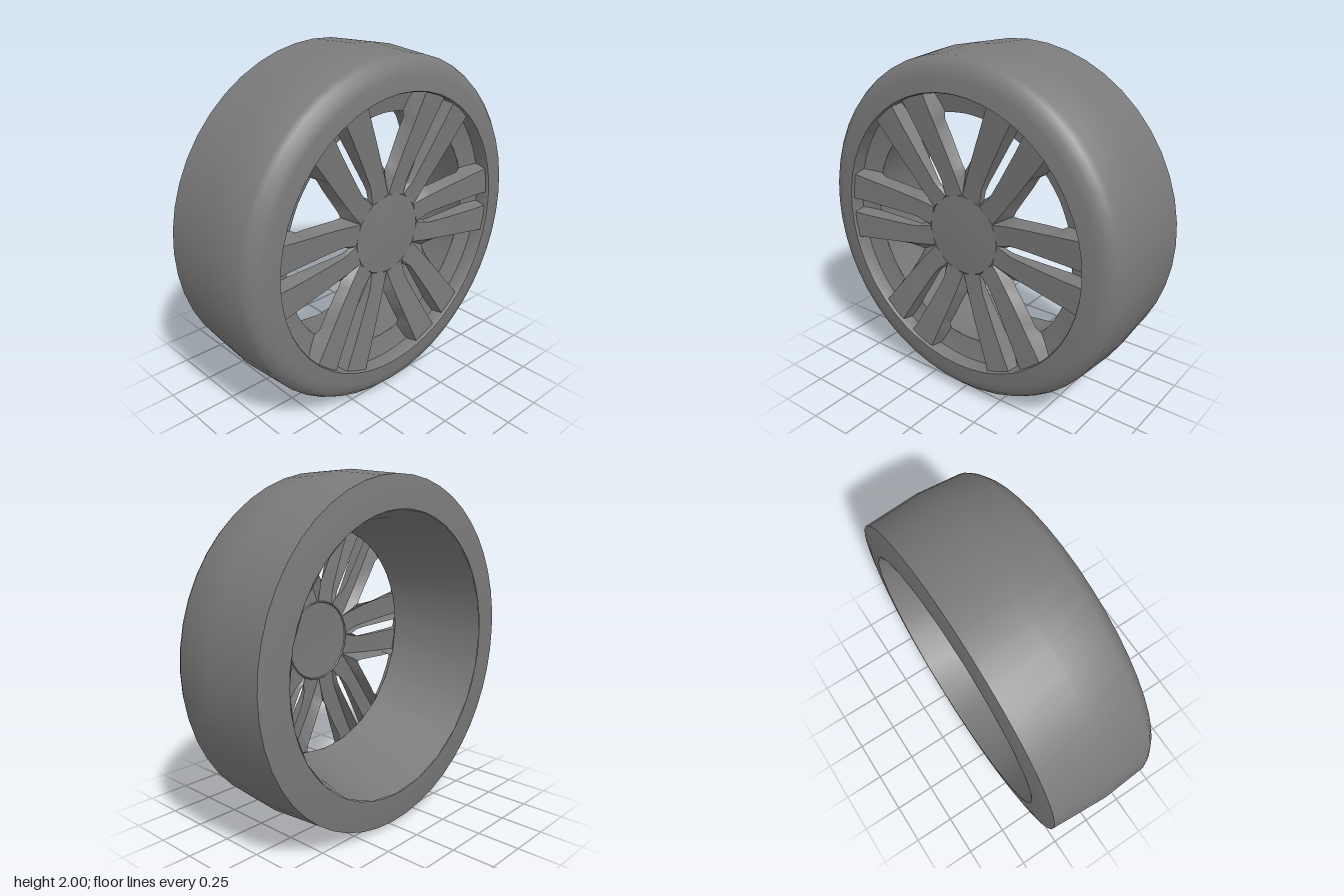
import * as THREE from 'three';
import { toCreasedNormals } from 'three/addons/utils/BufferGeometryUtils.js';

const material = new THREE.MeshStandardMaterial({ color: 0x7a7a7a, side: THREE.DoubleSide });

// Profile of [radius, z] turned around the z axis
function turned(name, profile, segments = 48, crease = 0.6) {
  const points = profile.map(([r, z]) => new THREE.Vector2(r, z));
  const geometry = new THREE.LatheGeometry(points, segments).rotateX(Math.PI / 2);
  const mesh = new THREE.Mesh(toCreasedNormals(geometry, crease), material);
  mesh.name = name;
  return mesh;
}

// Spoke stations: radius, then angle of slot foot, slot edge, window edge, window foot, then face z, foot z
const stations = [
  [0.235, 0, 0.6, 29.4, 30, 0.27, 0.266],
  [0.28, 0, 3, 26.5, 30, 0.273, 0.255],
  [0.32, 3.6, 5, 24.5, 30, 0.277, 0.245],
  [0.37, 4.2, 5.2, 22.5, 30, 0.282, 0.238],
  [0.4, 4.1, 5, 21.4, 27, 0.285, 0.236],
  [0.47, 3.6, 4.7, 19.5, 23.2, 0.292, 0.234],
  [0.57, 3.2, 4.2, 17.4, 19.6, 0.303, 0.232],
  [0.64, 3, 3.9, 16.3, 17.4, 0.31, 0.23],
  [0.68, 2.9, 3.8, 15.8, 18.2, 0.314, 0.228],
  [0.8, 2.4, 3.2, 14.6, 15.8, 0.326, 0.25],
];

// Open-backed channel lofted along the stations
function spokeGeometry() {
  const positions = [];
  const index = [];
  for (const [r, a, b, c, d, face, foot] of stations) {
    [[a, foot], [b, face], [c, face], [d, foot]].forEach(([degrees, z]) => {
      const t = THREE.MathUtils.degToRad(degrees);
      positions.push(r * Math.cos(t), r * Math.sin(t), z);
    });
  }
  for (let i = 0; i < stations.length - 1; i++) {
    for (let j = 0; j < 3; j++) {
      const p = i * 4 + j;
      index.push(p, p + 4, p + 5, p, p + 5, p + 1);
    }
  }
  const geometry = new THREE.BufferGeometry();
  geometry.setAttribute('position', new THREE.Float32BufferAttribute(positions, 3));
  geometry.setIndex(index);
  return toCreasedNormals(geometry, 0.5);
}

// Same channel on the other side of the slot, with its winding turned back
function mirrored(source) {
  const geometry = source.clone().scale(1, -1, 1);
  const position = geometry.attributes.position;
  const p = new THREE.Vector3();
  const q = new THREE.Vector3();
  for (let i = 0; i < position.count; i += 3) {
    p.fromBufferAttribute(position, i + 1);
    q.fromBufferAttribute(position, i + 2);
    position.setXYZ(i + 1, q.x, q.y, q.z);
    position.setXYZ(i + 2, p.x, p.y, p.z);
  }
  return toCreasedNormals(geometry, 0.5);
}

export function createModel() {
  const model = new THREE.Group();
  model.name = 'wheel';
  const wheel = new THREE.Group();
  wheel.name = 'wheelAssembly';
  wheel.position.y = 1;
  model.add(wheel);

  // Tyre: crowned tread, chamfered front shoulder, flat back wall
  wheel.add(turned('tyre', [
    [0.8, -0.345], [0.9, -0.338], [0.98, -0.325], [1, 0], [0.982, 0.26],
    [0.965, 0.29], [0.93, 0.325], [0.88, 0.336], [0.8, 0.345], [0.795, 0.335], [0.8, 0.25],
  ]));

  // Rim: tapering barrel and the ring the spokes land on
  wheel.add(turned('rimBarrel', [[0.8, -0.345], [0.68, 0.228]], 24));
  wheel.add(turned('rimRing', [[0.676, 0.228], [0.73, 0.236], [0.8, 0.255]], 48));

  // Six pairs of spokes, dished inward towards the hub
  const right = spokeGeometry();
  const left = mirrored(right);
  for (let i = 0; i < 6; i++) {
    const pair = new THREE.Group();
    pair.name = 'spokePair' + (i + 1);
    pair.rotation.z = i * Math.PI / 3;
    [right, left].forEach((geometry) => {
      const spoke = new THREE.Mesh(geometry, material);
      spoke.name = 'spoke';
      pair.add(spoke);
    });
    wheel.add(pair);
  }

  // Shallow cone hub with a fine groove around its edge
  wheel.add(turned('hubCap', [
    [0.24, 0.268], [0.235, 0.262], [0.23, 0.27], [0.12, 0.275], [0, 0.28],
  ], 24, 0.4));
  return model;
}
